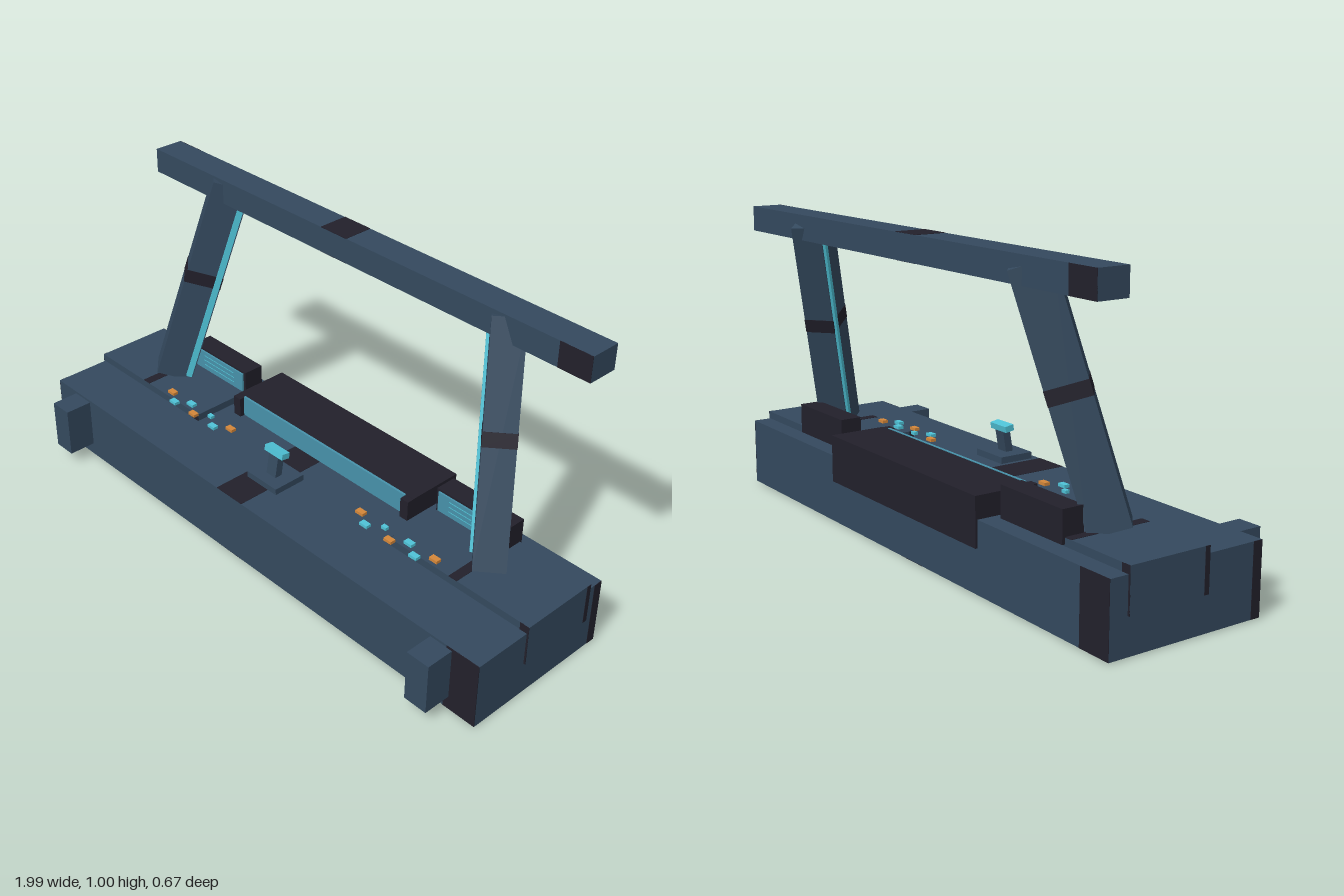
import * as THREE from 'three';

const mat = (name, color) => Object.assign(new THREE.MeshStandardMaterial({ color }), { name });

export function createModel() {
  const slate = mat('slate', 0x34495e);
  const dark = mat('charcoal', 0x22202b);
  const screen = mat('screenTeal', 0x4792aa);
  const bright = mat('brightTeal', 0x4fc3d7);
  const orange = mat('orange', 0xd4873a);
  const model = new THREE.Group();
  model.name = 'controlConsole';

  // Box given by its centre and size
  function box(parent, name, material, x, y, z, w, h, d) {
    const mesh = new THREE.Mesh(new THREE.BoxGeometry(w, h, d), material);
    mesh.position.set(x, y, z);
    mesh.name = name;
    parent.add(mesh);
    return mesh;
  }

  // Box given by its ranges
  function span(parent, name, material, [x0, x1], [y0, y1], [z0, z1]) {
    return box(parent, name, material, (x0 + x1) / 2, (y0 + y1) / 2, (z0 + z1) / 2, x1 - x0, y1 - y0, z1 - z0);
  }

  // Slate box with thin dark inlays: one at the right end of each side face,
  // one just off the middle of the top and bottom
  function inlaidBox(name, xs, ys, zs, ends = true) {
    const group = new THREE.Group();
    group.name = name;
    model.add(group);
    span(group, name + 'Body', slate, xs, ys, zs);
    const t = 0.001;
    const sx = (xs[1] - xs[0]) * 0.06, sz = (zs[1] - zs[0]) * 0.06;
    const mid = (xs[0] + xs[1]) / 2;
    span(group, 'frontInlay', dark, [xs[1] - sx, xs[1]], ys, [zs[1] - t, zs[1] + t]);
    span(group, 'backInlay', dark, [xs[0], xs[0] + sx], ys, [zs[0] - t, zs[0] + t]);
    span(group, 'topInlay', dark, [mid - sx, mid], [ys[1] - t, ys[1] + t], zs);
    span(group, 'bottomInlay', dark, [mid - sx, mid], [ys[0], ys[0] + t].map((v) => v - t / 2), zs);
    if (ends) {
      span(group, 'leftInlay', dark, [xs[1] - t, xs[1] + t], ys, [zs[0], zs[0] + sz]);
      span(group, 'rightInlay', dark, [xs[0] - t, xs[0] + t], ys, [zs[1] - sz, zs[1]]);
    }
    return group;
  }

  // Base, raised side decks and the overhead beam
  inlaidBox('base', [-0.99, 0.99], [0, 0.225], [-0.298, 0.237]);
  inlaidBox('rightDeck', [-0.996, -0.455], [0.113, 0.25], [-0.237, 0.038]);
  inlaidBox('leftDeck', [0.455, 0.996], [0.113, 0.25], [-0.237, 0.038]);
  inlaidBox('overheadBeam', [-0.928, 0.928], [0.917, 1], [-0.305, -0.202], false);

  // Centre console with its long screen between two cheeks
  span(model, 'centreConsole', dark, [-0.41, 0.41], [0.14, 0.296], [-0.305, -0.11]);
  span(model, 'centreScreen', screen, [-0.378, 0.378], [0.226, 0.298], [-0.11, -0.102]);

  for (const s of [-1, 1]) {
    // Console cheeks
    box(model, 'consoleCheek', dark, s * 0.394, 0.26, -0.1, 0.032, 0.07, 0.03);

    // Side consoles with lined screens
    box(model, 'sideConsole', dark, s * 0.59, 0.28, -0.209, 0.28, 0.1, 0.074);
    box(model, 'sideScreen', screen, s * 0.585, 0.288, -0.17, 0.25, 0.07, 0.008);
    for (let i = 0; i < 3; i++) {
      box(model, 'screenLine', bright, s * 0.585, 0.272 + i * 0.018, -0.166, 0.16, 0.002, 0.002);
    }

    // Front feet
    box(model, 'frontFoot', slate, s * 0.85, 0.131, 0.284, 0.082, 0.172, 0.096);

    // Slots under the base
    box(model, 'undersideSlot', dark, s * 0.35, -0.001, -0.09, 0.12, 0.004, 0.03);

    // Leaning posts, turned outward, with a dark band and a light strip
    const post = new THREE.Group();
    post.name = s > 0 ? 'leftPost' : 'rightPost';
    post.position.set(s * 0.668, 0.613, -0.172);
    post.rotation.order = 'YXZ';
    post.rotation.set(-0.297, s * 0.698, 0);
    box(post, 'postBody', slate, 0, 0, 0, 0.1, 0.757, 0.125);
    box(post, 'postBand', dark, 0, 0.022, 0, 0.102, 0.046, 0.127);
    box(post, 'lightStrip', bright, -s * 0.053, -0.01, -0.048, 0.012, 0.7, 0.02);
    model.add(post);

    // Two staggered rows of buttons
    for (let i = 0; i < 7; i++) {
      const z = i % 2 ? 0.05 : 0.016;
      box(model, 'button', i % 3 ? bright : orange, s * (0.31 + i * 0.0515), 0.255, z,
        i === 2 ? 0.02 : 0.031, 0.01, i === 2 ? 0.015 : 0.02);
    }
  }

  // Control lever on its pad
  const lever = new THREE.Group();
  lever.name = 'controlLever';
  box(lever, 'leverPad', slate, 0, 0.265, 0.092, 0.135, 0.021, 0.118);
  const stick = new THREE.Group();
  stick.position.set(0, 0.275, 0.098);
  stick.rotation.x = -0.17;
  box(stick, 'leverStem', slate, 0, 0.037, 0, 0.042, 0.08, 0.026);
  box(stick, 'leverGrip', bright, 0, 0.082, 0, 0.082, 0.02, 0.031);
  lever.add(stick);
  model.add(lever);

  return model;
}
